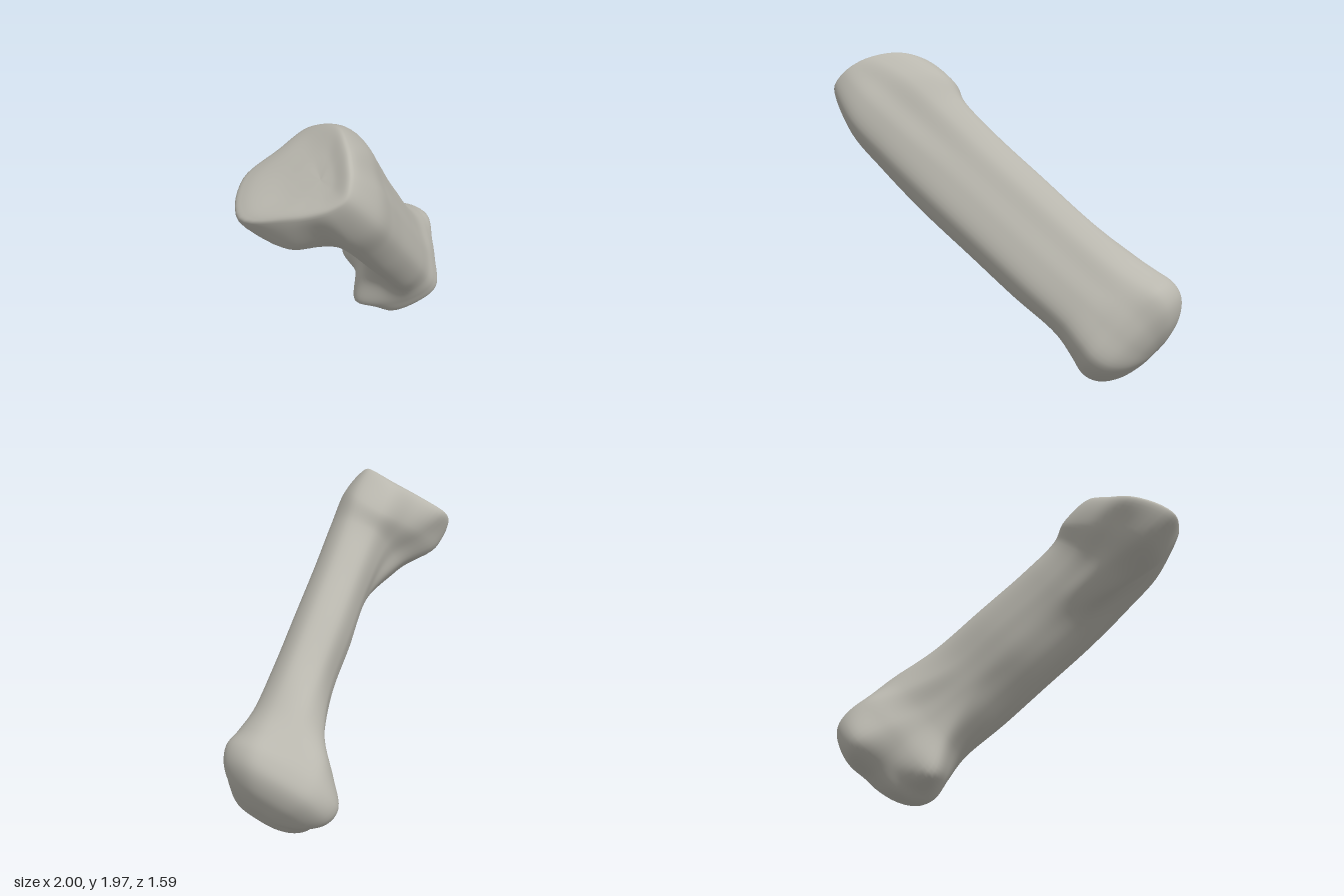
import * as THREE from 'three';

// Bone frame: AXIS runs down the shaft, WIDE and THIN span its cross-section
const AXIS = new THREE.Vector3(0.62, -0.65, -0.435).normalize();
const WIDE = new THREE.Vector3(0.158, 0.651, -0.74).normalize();
const THIN = new THREE.Vector3().crossVectors(AXIS, WIDE);
const CENTRE = [0.62, 0.5];

// Radii every 30 degrees, from WIDE round towards THIN
const UPPER_RIM = [0.38, 0.32, 0.22, 0.18, 0.18, 0.20, 0.19, 0.20, 0.265, 0.465, 0.46, 0.365];
const UPPER_HEAD = [0.37, 0.37, 0.29, 0.235, 0.26, 0.31, 0.29, 0.25, 0.37, 0.455, 0.365, 0.33];
const UPPER_NECK = [0.305, 0.335, 0.29, 0.24, 0.27, 0.33, 0.32, 0.24, 0.29, 0.265, 0.21, 0.23];
const SHAFT = [0.285, 0.317, 0.28, 0.24, 0.265, 0.335, 0.34, 0.21, 0.155, 0.14, 0.145, 0.19];
const LOWER_NECK = [0.335, 0.33, 0.295, 0.25, 0.27, 0.335, 0.33, 0.26, 0.26, 0.20, 0.20, 0.28];
const LOWER_FLARE = [0.35, 0.365, 0.335, 0.28, 0.29, 0.365, 0.36, 0.37, 0.44, 0.30, 0.34, 0.385];
const LOWER_HEAD = [0.355, 0.385, 0.37, 0.29, 0.295, 0.38, 0.38, 0.405, 0.37, 0.32, 0.425, 0.405];

// Lean of a section: slope along WIDE, slope along THIN, bow along WIDE
const UP = [0.3, -0.13, 1];
const UP_HALF = [0.15, -0.05, 0.3];
const FLAT = [0, 0, 0];
const LOW_HALF = [0.05, -0.1, 0];
const LOW = [0.08, -0.17, 0];

// Stations: distance along the axis, lean, scale, radii
const STATIONS = [
  [-1.855, UP, 0, UPPER_RIM],
  [-1.86, UP, 0.4, UPPER_RIM],
  [-1.88, UP, 0.87, UPPER_RIM],
  [-1.86, UP, 1, UPPER_RIM],
  [-1.63, UP, 1, UPPER_HEAD],
  [-1.34, UP_HALF, 1, UPPER_NECK],
  [-1.0, FLAT, 1, SHAFT],
  [-0.6, FLAT, 1, SHAFT],
  [-0.25, FLAT, 1, SHAFT],
  [0.07, FLAT, 1, LOWER_NECK],
  [0.25, LOW_HALF, 1, LOWER_FLARE],
  [0.38, LOW, 1, LOWER_HEAD],
  [0.47, LOW, 0.92, LOWER_HEAD],
  [0.545, LOW, 0.67, LOWER_HEAD],
  [0.585, LOW, 0.3, LOWER_HEAD],
  [0.59, LOW, 0, LOWER_HEAD],
];

function ring([s, [slopeW, slopeT, bow], scale, radii], sides) {
  const loop = new THREE.CatmullRomCurve3(radii.map((r, k) => {
    const a = k * Math.PI / 6;
    return new THREE.Vector3(r * Math.cos(a), r * Math.sin(a), 0);
  }), true);
  return Array.from({ length: sides }, (_, j) => {
    const p = loop.getPoint(j / sides).multiplyScalar(scale);
    return new THREE.Vector3()
      .addScaledVector(AXIS, s + slopeW * p.x + slopeT * p.y + bow * p.x * p.x)
      .addScaledVector(WIDE, CENTRE[0] + p.x)
      .addScaledVector(THIN, CENTRE[1] + p.y);
  });
}

// Smooth skin through all the stations
function loft(sides, rows) {
  const rings = STATIONS.map((st) => ring(st, sides));
  const columns = Array.from({ length: sides }, (_, j) =>
    new THREE.CatmullRomCurve3(rings.map((r) => r[j])));
  const pos = [], index = [];
  for (let i = 0; i <= rows; i++) {
    for (const c of columns) pos.push(...c.getPoint(i / rows).toArray());
  }
  for (let i = 0; i < rows; i++) {
    for (let j = 0; j < sides; j++) {
      const a = i * sides + j, b = i * sides + (j + 1) % sides;
      if (i > 0) index.push(a, b, a + sides);
      if (i < rows - 1) index.push(b, b + sides, a + sides);
    }
  }
  const geo = new THREE.BufferGeometry();
  geo.setAttribute('position', new THREE.Float32BufferAttribute(pos, 3));
  geo.setIndex(index);
  geo.computeVertexNormals();
  return geo;
}

export function createModel() {
  const group = new THREE.Group();
  group.name = 'footBone';
  const boneGrey = new THREE.MeshStandardMaterial({ color: 0xb9b7ae });
  boneGrey.name = 'boneGrey';

  const bone = new THREE.Mesh(loft(72, 120), boneGrey);
  bone.name = 'bone';
  group.add(bone);
  return group;
}
